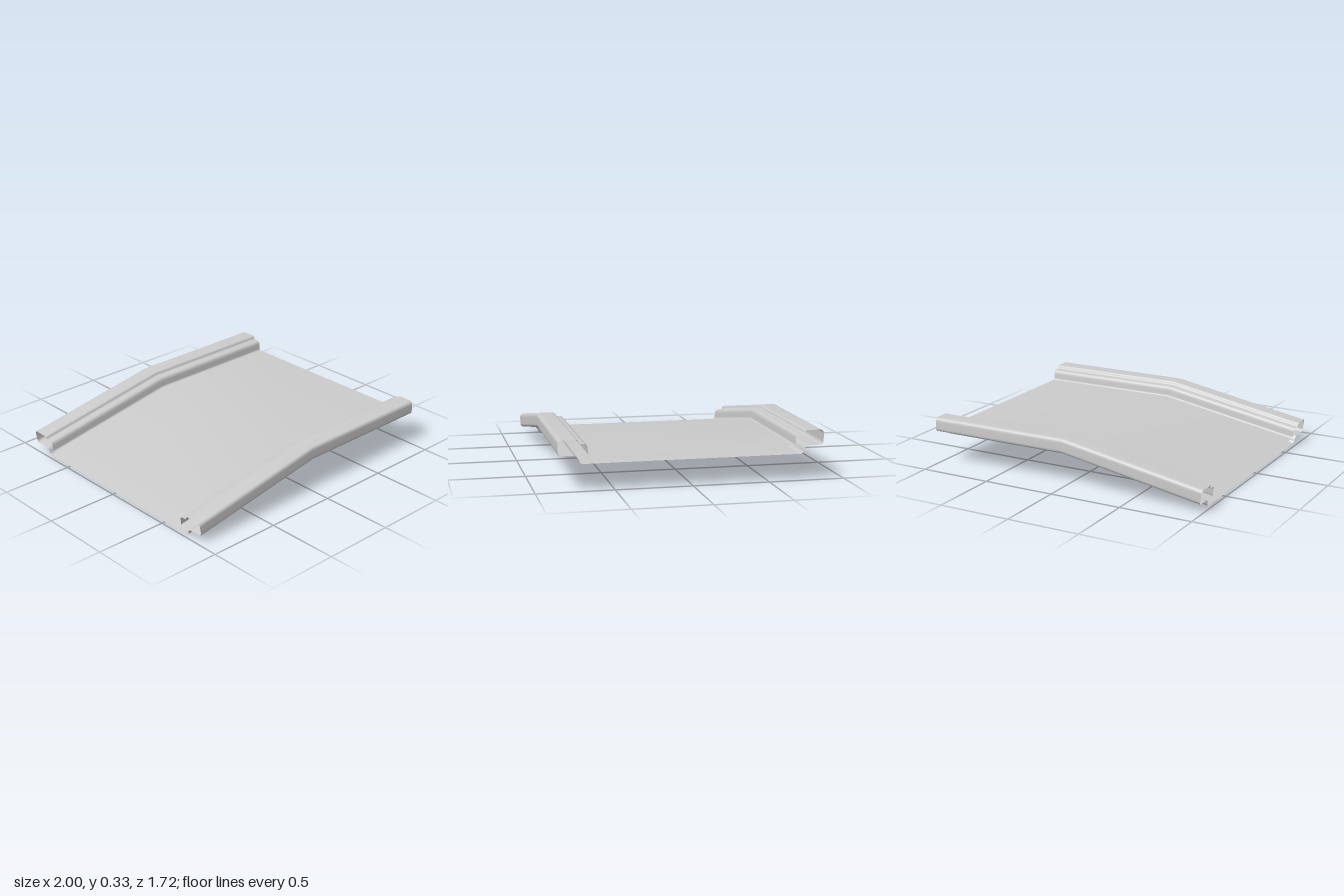
import * as THREE from 'three';

const TOP = 0.329;
const TILT = THREE.MathUtils.degToRad(10);

// Corners of the +z half of the hollow cross-section: [z, y, rounding]
const HALF = [
  [0.668, 0.229, 0.014],
  [0.674, 0.303, 0.03],
  [0.727, 0.303, 0.012],
  [0.735, 0.329, 0.014],
  [0.858, 0.329, 0.028],
  [0.858, 0.23, 0.025],
  [0.738, 0.23, 0.03],
  [0.722, 0.176, 0.022],
];

// Closed loop with every corner softened by a small curve
function roundedLoop(corners, steps = 5) {
  const pts = corners.map(([z, y]) => new THREE.Vector2(z, y));
  const n = pts.length;
  const loop = [];
  pts.forEach((p, i) => {
    const toward = (q) => {
      const d = q.clone().sub(p);
      const len = Math.min(corners[i][2], d.length() * 0.48);
      return p.clone().add(d.setLength(len));
    };
    const curve = new THREE.QuadraticBezierCurve(
      toward(pts[(i + n - 1) % n]), p, toward(pts[(i + 1) % n]));
    loop.push(...curve.getPoints(steps));
  });
  return loop;
}

// Open-ended sweep: level half, mitred bend, then a half sloping down to -x
function sweep(loop) {
  const stations = [
    (d) => [1, TOP - d],
    (d) => [d * Math.tan(TILT / 2), TOP - d],
    (d) => [-1 + d * Math.sin(TILT), TOP - Math.tan(TILT) - d * Math.cos(TILT)],
  ];
  const n = loop.length;
  const position = [];
  const index = [];
  stations.forEach((place, s) => {
    loop.forEach((p, i) => {
      const [x, y] = place(TOP - p.y);
      position.push(x, y, p.x);
      if (s === stations.length - 1) return;
      const a = s * n + i;
      const b = s * n + (i + 1) % n;
      index.push(a, a + n, b + n, a, b + n, b);
    });
  });
  const geometry = new THREE.BufferGeometry();
  geometry.setAttribute('position', new THREE.Float32BufferAttribute(position, 3));
  geometry.setIndex(index);
  geometry.computeVertexNormals();
  return geometry;
}

export function createModel() {
  const group = new THREE.Group();
  group.name = 'bentChannelPanel';

  // Mirror the half section to get floor, side rails and underside in one loop
  const mirrored = HALF.map(([z, y, r]) => [-z, y, r]).reverse();
  const material = new THREE.MeshStandardMaterial({ color: 0xcccccc, side: THREE.DoubleSide });
  const panel = new THREE.Mesh(sweep(roundedLoop([...HALF, ...mirrored])), material);
  panel.name = 'panelWithSideRails';
  group.add(panel);
  return group;
}
